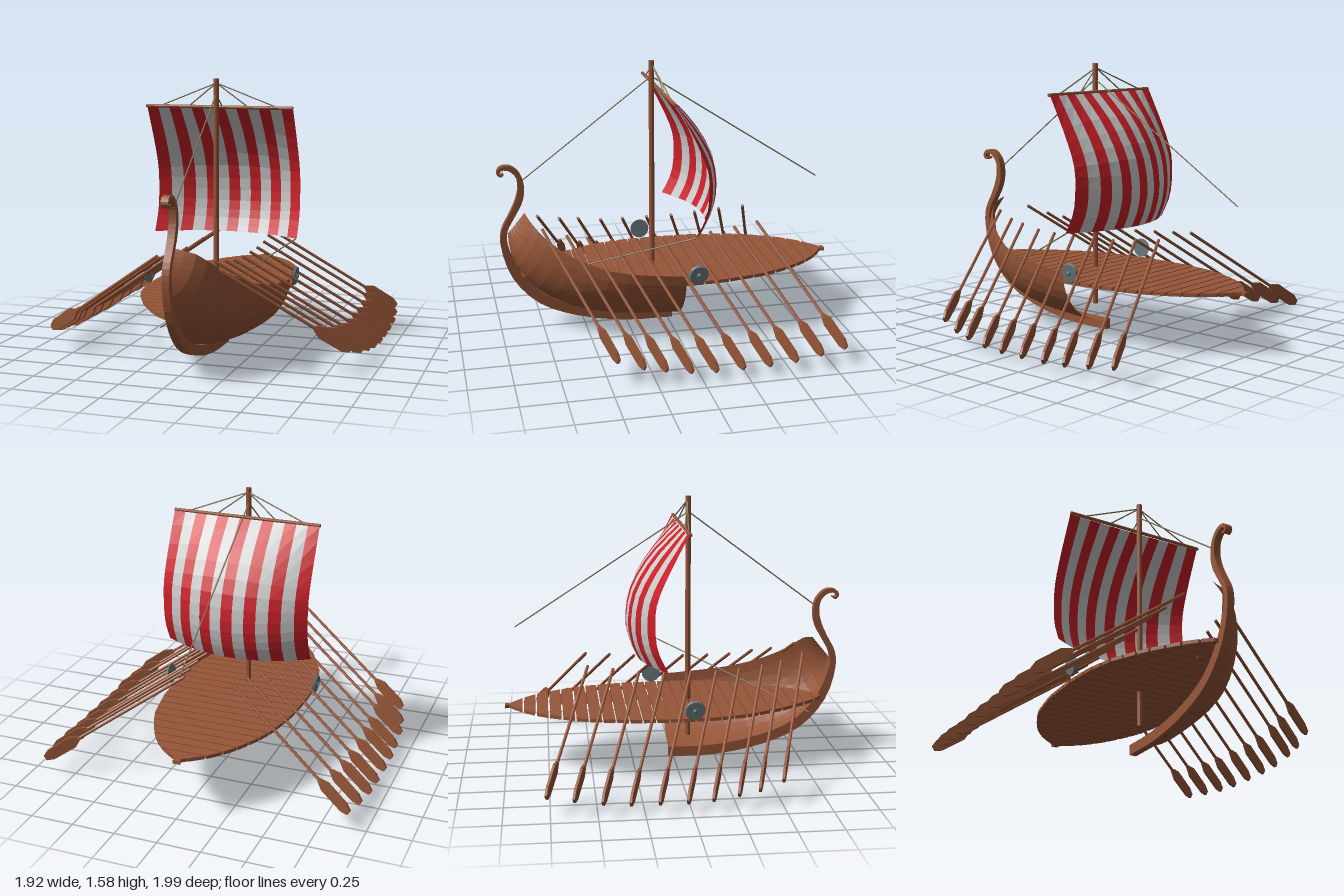
import * as THREE from 'three';

const mat = (color, side = THREE.FrontSide) => new THREE.MeshStandardMaterial({ color, side, flatShading: true });
const wood = mat(0x965638);
const shell = mat(0x965638, THREE.DoubleSide);
const ropeMat = mat(0x8a7a5c);
const iron = mat(0x66757a);
const red = mat(0xcc2028, THREE.DoubleSide);
const pale = mat(0xcccccc, THREE.DoubleSide);
const C = -0.01; // centre line of the ship
const V = (x, y, z) => new THREE.Vector3(x, y, z);

function add(parent, name, geo, material) {
  const m = new THREE.Mesh(geo, material);
  m.name = name;
  parent.add(m);
  return m;
}

// Straight round bar between two points
function rod(parent, name, a, b, r, material, sides = 8) {
  const m = add(parent, name, new THREE.CylinderGeometry(r, r, a.distanceTo(b), sides), material);
  m.position.copy(a).add(b).multiplyScalar(0.5);
  m.quaternion.setFromUnitVectors(V(0, 1, 0), b.clone().sub(a).normalize());
  return m;
}

// Grid surface from a rule fn(u, v) -> Vector3
function surface(fn, nu, nv) {
  const pos = [], idx = [];
  for (let i = 0; i <= nu; i++) for (let j = 0; j <= nv; j++) pos.push(...fn(i / nu, j / nv).toArray());
  for (let i = 0; i < nu; i++) for (let j = 0; j < nv; j++) {
    const a = i * (nv + 1) + j, b = a + nv + 1;
    idx.push(a, b, a + 1, b, b + 1, a + 1);
  }
  const g = new THREE.BufferGeometry();
  g.setAttribute('position', new THREE.Float32BufferAttribute(pos, 3));
  g.setIndex(idx);
  g.computeVertexNormals();
  return g;
}

// Linear lookup in a table of [key, value]
function lookup(table, k) {
  for (let i = 1; i < table.length; i++) {
    const [a, va] = table[i - 1], [b, vb] = table[i];
    if (k <= b) return va + (vb - va) * Math.max(0, (k - a) / (b - a));
  }
  return table[table.length - 1][1];
}

// Front left quarter of the hull: elliptic ribs from the keel up to the rim
function buildHull(ship) {
  const keel = new THREE.CatmullRomCurve3([[-0.03, 0.06], [0.22, 0.07], [0.48, 0.11], [0.71, 0.2],
    [0.86, 0.34], [0.925, 0.47], [0.94, 0.6]].map(([z, y]) => V(0, y, z)));
  const rim = new THREE.CatmullRomCurve3([[0.42, 0.41, -0.03], [0.41, 0.43, 0.2], [0.38, 0.46, 0.4],
    [0.3, 0.53, 0.6], [0.22, 0.61, 0.73], [0.13, 0.69, 0.81], [0.01, 0.722, 0.84]].map(p => V(...p)));
  add(ship, 'hull', surface((u, v) => {
    const k = keel.getPoint(u), s = rim.getPoint(u), a = v * Math.PI / 2;
    return V(C + s.x * Math.sin(a), s.y + (k.y - s.y) * Math.cos(a), s.z + (k.z - s.z) * Math.cos(a));
  }, 12, 9), shell);
}

// Keel sweeping up into a curled stem: centre line points [z, y, half thickness]
function buildKeel(ship) {
  const line = [[-0.03, 0.034, 0.03], [0.25, 0.04, 0.03], [0.54, 0.095, 0.03], [0.756, 0.19, 0.03],
    [0.9, 0.35, 0.028], [0.965, 0.54, 0.02], [0.96, 0.63, 0.017], [0.913, 0.72, 0.017], [0.873, 0.8, 0.02],
    [0.857, 0.88, 0.018], [0.872, 0.955, 0.015], [0.92, 1.0, 0.014], [0.968, 1.0, 0.011],
    [0.985, 0.975, 0.008], [0.97, 0.958, 0.006], [0.955, 0.968, 0.005]];
  const curve = new THREE.CatmullRomCurve3(line.map(([z, y, w]) => V(z, y, w)));
  const outer = [], inner = [], n = 45;
  for (let i = 0; i <= n; i++) {
    const p = curve.getPoint(i / n), t = curve.getTangent(i / n);
    const d = new THREE.Vector2(t.y, -t.x).normalize().multiplyScalar(p.z);
    outer.push(new THREE.Vector2(p.x + d.x, p.y + d.y));
    inner.unshift(new THREE.Vector2(p.x - d.x, p.y - d.y));
  }
  const g = new THREE.ExtrudeGeometry(new THREE.Shape([...outer, ...inner]), { depth: 0.042, bevelEnabled: false });
  g.rotateY(-Math.PI / 2).translate(0.032, 0, 0);
  add(ship, 'keelAndStem', g, wood);
}

// Flat board in plan from [x, z] corners
function board(parent, name, pts) {
  const shape = new THREE.Shape(pts.map(([x, z]) => new THREE.Vector2(x + C, -z)));
  const g = new THREE.ExtrudeGeometry(shape, { depth: 0.02, bevelEnabled: false });
  add(parent, name, g.rotateX(-Math.PI / 2).translate(0, 0.345, 0), wood);
}

function buildDeck(ship) {
  const deck = new THREE.Group();
  deck.name = 'deck';
  ship.add(deck);
  const half = [[-0.95, 0.05], [-0.88, 0.14], [-0.78, 0.225], [-0.63, 0.305], [-0.5, 0.355], [-0.26, 0.4],
    [0, 0.41], [0.2, 0.4], [0.4, 0.355], [0.61, 0.25], [0.8, 0.12], [0.89, 0.025]];
  for (let i = 0; i < 25; i++) {
    const z0 = Math.max(-0.95, -0.968 + i * 0.0752 + 0.005), z1 = Math.min(0.89, -0.968 + (i + 1) * 0.0752 - 0.005);
    const a = lookup(half, z0), b = lookup(half, z1);
    if (z1 > z0) board(deck, 'plank', [[-a, z0], [-b, z1], [b, z1], [a, z0]]);
  }
  board(deck, 'sternTip', [[-0.022, -1], [-0.014, -0.975], [-0.05, -0.945], [0.05, -0.945], [0.014, -0.975], [0.022, -1]]);
}

// Striped sail, bulging aft
function buildSail(ship) {
  const sail = new THREE.Group();
  sail.name = 'sail';
  ship.add(sail);
  const mid = [[0.643, -0.22], [0.74, -0.263], [0.874, -0.284], [1.06, -0.247], [1.25, -0.13], [1.41, 0.03]];
  const edge = [[0.643, -0.075], [0.767, -0.134], [0.9, -0.15], [1.035, -0.14], [1.196, -0.075], [1.41, 0.035]];
  const curve = t => new THREE.SplineCurve(t.map(p => new THREE.Vector2(...p)));
  const cm = curve(mid), ce = curve(edge), stripes = 13;
  for (let i = 0; i < stripes; i++) {
    add(sail, 'sailStripe', surface((u, v) => {
      const s = ((i + u) / stripes) * 2 - 1, m = cm.getPoint(v), e = ce.getPoint(v), k = 1 - s * s;
      return V(C + s * 0.445, e.x + (m.x - e.x) * k, e.y + (m.y - e.y) * k);
    }, 1, 12), i % 2 ? pale : red);
  }
}

// Oar with a flat upright blade, from handle to tip
function buildOar(ship, handle, tip) {
  const oar = new THREE.Group(), len = handle.distanceTo(tip), b = len - 0.24;
  oar.name = 'oar';
  const shaft = add(oar, 'oarShaft', new THREE.CylinderGeometry(0.009, 0.009, b + 0.03, 7), wood);
  shaft.rotation.z = Math.PI / 2;
  shaft.position.x = (b + 0.03) / 2;
  const half = [[b, 0.009], [b + 0.05, 0.036], [len - 0.04, 0.034], [len, 0.016]];
  const pts = [...half.map(([x, y]) => [x, -y]), ...half.reverse()];
  const blade = new THREE.ExtrudeGeometry(new THREE.Shape(pts.map(p => new THREE.Vector2(...p))), { depth: 0.014, bevelEnabled: false });
  add(oar, 'oarBlade', blade.translate(0, 0, -0.007), wood);
  const x = tip.clone().sub(handle).normalize();
  const z = x.clone().cross(V(0, 1, 0)).normalize();
  oar.quaternion.setFromRotationMatrix(new THREE.Matrix4().makeBasis(x, z.clone().cross(x), z));
  oar.position.copy(handle);
  ship.add(oar);
}

export function createModel() {
  const ship = new THREE.Group();
  ship.name = 'sailingShip';
  buildHull(ship);
  buildKeel(ship);
  buildDeck(ship);
  buildSail(ship);

  // Mast and yard
  rod(ship, 'mast', V(C, 0.14, 0.085), V(C, 1.58, 0.085), 0.016, wood, 12);
  rod(ship, 'yard', V(C - 0.447, 1.415, 0.045), V(C + 0.447, 1.415, 0.045), 0.01, wood);

  // Rigging
  const rope = (a, b) => rod(ship, 'rope', a, b, 0.004, ropeMat, 6);
  for (const x of [-0.355, -0.18, 0.18, 0.355]) rope(V(C, 1.555, 0.08), V(C + x, 1.418, 0.045));
  rope(V(C, 1.49, 0.085), V(C + 0.01, 0.92, 0.845));
  rope(V(C, 1.485, 0.08), V(C, 0.83, -0.93));
  rope(V(0.43, 0.643, -0.075), V(-0.085, 0.28, 0.81));

  // Round shields, one on each side
  for (const [x, y, z] of [[0.425, 0.418, -0.097], [-0.445, 0.418, 0.075]]) {
    const shield = new THREE.Group(), s = Math.sign(x);
    shield.name = 'shield';
    add(shield, 'shieldDisc', new THREE.CylinderGeometry(0.052, 0.058, 0.014, 20), iron);
    add(shield, 'shieldBoss', new THREE.SphereGeometry(0.014, 10, 6), iron).position.y = 0.007;
    shield.rotation.z = -s * (Math.PI / 2 + 0.1);
    shield.position.set(x, y, z);
    ship.add(shield);
  }

  // Ten oars per side, following the curve of the hull
  const handleZ = [-0.515, -0.37, -0.22, -0.073, 0.08, 0.23, 0.366, 0.504, 0.62, 0.754];
  const handleY = [0.62, 0.605, 0.59, 0.58, 0.58, 0.58, 0.585, 0.605, 0.62, 0.655];
  const tipX = [0.905, 0.93, 0.945, 0.947, 0.95, 0.95, 0.943, 0.936, 0.915, 0.878];
  handleZ.forEach((z, i) => {
    for (const s of [1, -1]) {
      buildOar(ship, V(s * (tipX[i] - 0.755), handleY[i], z), V(s * tipX[i], handleY[i] - 0.51, z - (s > 0 ? 0.3 : 0.255)));
    }
  });
  return ship;
}
